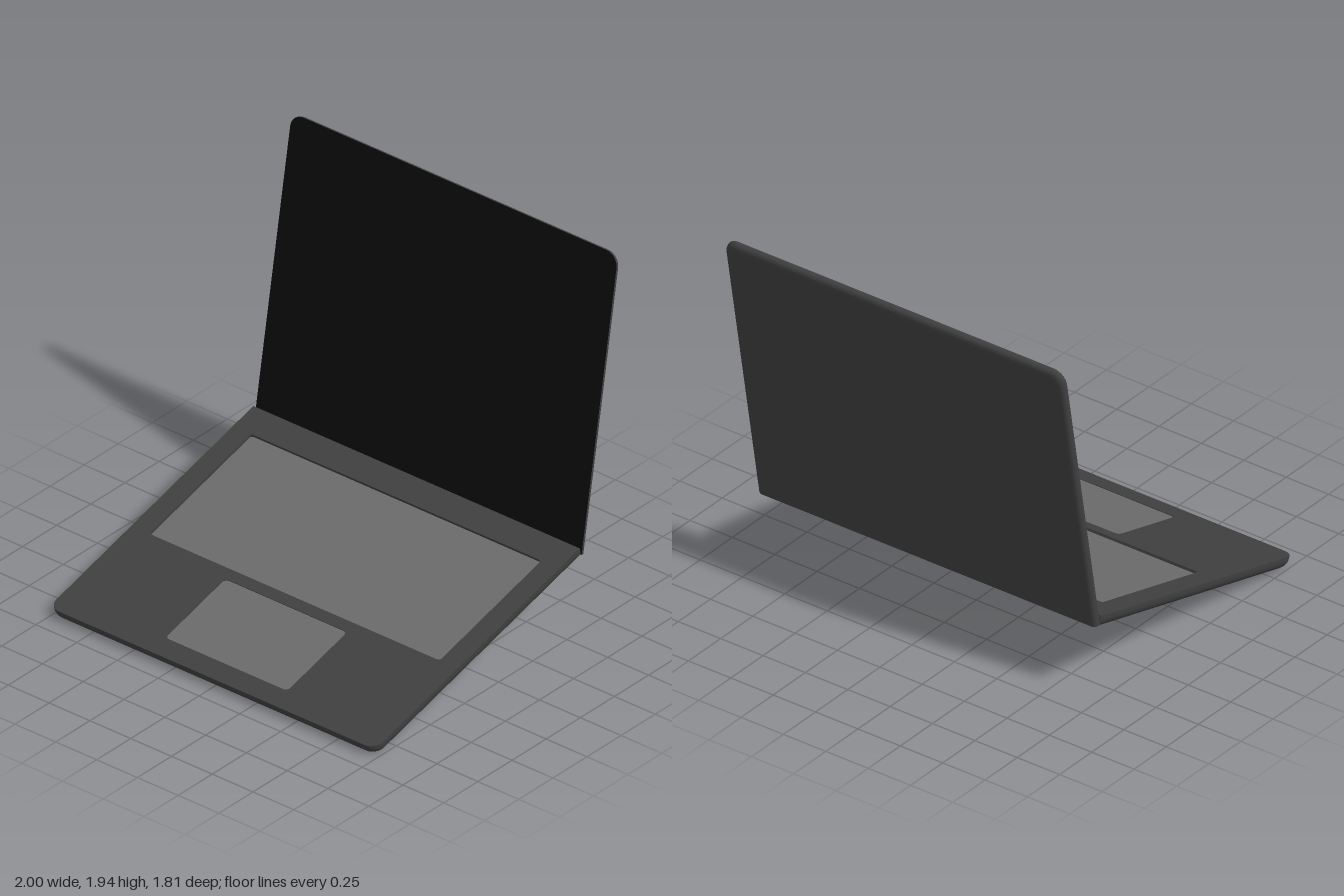
import * as THREE from 'three';
import { mergeGeometries, toCreasedNormals } from 'three/addons/utils/BufferGeometryUtils.js';

const LENGTH = 1.553;

// Counter-clockwise rounded rectangle; r0 rounds the y0 corners, r1 the y1 corners.
function outline(halfW, y0, y1, r0, r1) {
  const pts = [];
  const corner = (cx, cy, r, start) => {
    const n = r > 0 ? 8 : 0;
    for (let i = 0; i <= n; i++) {
      const a = start + (n ? (i / n) * Math.PI / 2 : 0);
      pts.push(new THREE.Vector2(cx + r * Math.cos(a), cy + r * Math.sin(a)));
    }
  };
  corner(halfW - r0, y0 + r0, r0, -Math.PI / 2);
  corner(halfW - r1, y1 - r1, r1, 0);
  corner(-halfW + r1, y1 - r1, r1, Math.PI / 2);
  corner(-halfW + r0, y0 + r0, r0, Math.PI);
  return pts;
}

// Skin between rings of equal point count, facing outward when the rings descend in z.
function loft(rings) {
  const pos = [], index = [], n = rings[0].pts.length;
  rings.forEach(({ pts, z }) => pts.forEach(p => pos.push(p.x, p.y, z)));
  for (let k = 0; k < rings.length - 1; k++) {
    for (let i = 0; i < n; i++) {
      const j = (i + 1) % n, a = k * n, b = a + n;
      index.push(a + i, b + i, b + j, a + i, b + j, a + j);
    }
  }
  const g = new THREE.BufferGeometry();
  g.setAttribute('position', new THREE.Float32BufferAttribute(pos, 3));
  g.setIndex(index);
  return g.toNonIndexed();
}

// Flat face at height z, optionally pierced, optionally facing down.
function face(pts, z, holes = [], down = false) {
  const shape = new THREE.Shape(pts);
  shape.holes = holes.map(h => new THREE.Path(h));
  const g = new THREE.ShapeGeometry(shape).toNonIndexed();
  g.deleteAttribute('uv');
  g.deleteAttribute('normal');
  if (down) {
    g.rotateY(Math.PI);
  }
  g.translate(0, 0, z);
  return g;
}

// Slab with a square hinge edge at y = 0 and softened outer edges on its underside.
function shell(thickness, radius, inset, drop, length) {
  const rings = [{ pts: outline(1, 0, length, 0, radius), z: 0 }];
  for (let k = 0; k <= 6; k++) {
    const a = (k / 6) * Math.PI / 2, d = inset * (1 - Math.cos(a));
    rings.push({
      pts: outline(1 - d, 0, length - d, 0, radius),
      z: -thickness + drop * (1 - Math.sin(a)),
    });
  }
  const last = rings[rings.length - 1];
  return [loft(rings), face(last.pts, last.z, [], true)];
}

const finish = parts => toCreasedNormals(mergeGeometries(parts), 0.6);

export function createModel() {
  const body = new THREE.MeshStandardMaterial({ color: 0x404040 });
  body.name = 'dark grey body';
  const pad = new THREE.MeshStandardMaterial({ color: 0x6b6b6b });
  pad.name = 'mid grey pads';
  const black = new THREE.MeshStandardMaterial({ color: 0x0d0d0d });
  black.name = 'black screen';

  const model = new THREE.Group();
  model.name = 'laptop';
  const add = (parent, name, geometry, material) => {
    const mesh = new THREE.Mesh(geometry, material);
    mesh.name = name;
    parent.add(mesh);
    return mesh;
  };

  // Base: local y runs from the hinge to the front, local z is up
  const base = new THREE.Group();
  base.name = 'base';
  base.rotation.set(Math.PI / 2 + 0.264, Math.PI, 0);
  base.position.set(0, 0.463, -0.593);
  model.add(base);

  const wells = [
    { name: 'keyboard', pts: outline(0.89, 0.155, 0.926, 0.015, 0.015), depth: 0.014 },
    { name: 'trackpad', pts: outline(0.375, 0.989, 1.444, 0.025, 0.025), depth: 0.004 },
  ];
  const deck = face(outline(1, 0, LENGTH, 0, 0.06), 0, wells.map(w => w.pts));
  const wellWalls = wells.map(w => loft([{ pts: w.pts, z: -w.depth }, { pts: w.pts, z: 0 }]));
  add(base, 'baseShell', finish([deck, ...wellWalls, ...shell(0.065, 0.06, 0.04, 0.05, LENGTH)]), body);
  wells.forEach(w => add(base, w.name, finish([face(w.pts, -w.depth)]), pad));

  // Lid: local y runs up from the hinge, local z faces the user
  const lid = new THREE.Group();
  lid.name = 'lid';
  lid.rotation.x = -0.1735;
  lid.position.set(0, 0.42, -0.607);
  model.add(lid);
  add(lid, 'lidShell', finish(shell(0.03, 0.07, 0.03, 0.024, 1.55)), body);
  add(lid, 'screen', finish([face(outline(1, 0, 1.55, 0, 0.07), 0)]), black);

  // Hinge barrel
  const hinge = add(model, 'hinge', new THREE.CylinderGeometry(0.027, 0.027, 1.82, 20), body);
  hinge.rotation.z = Math.PI / 2;
  hinge.position.set(0, 0.432, -0.585);

  return model;
}
